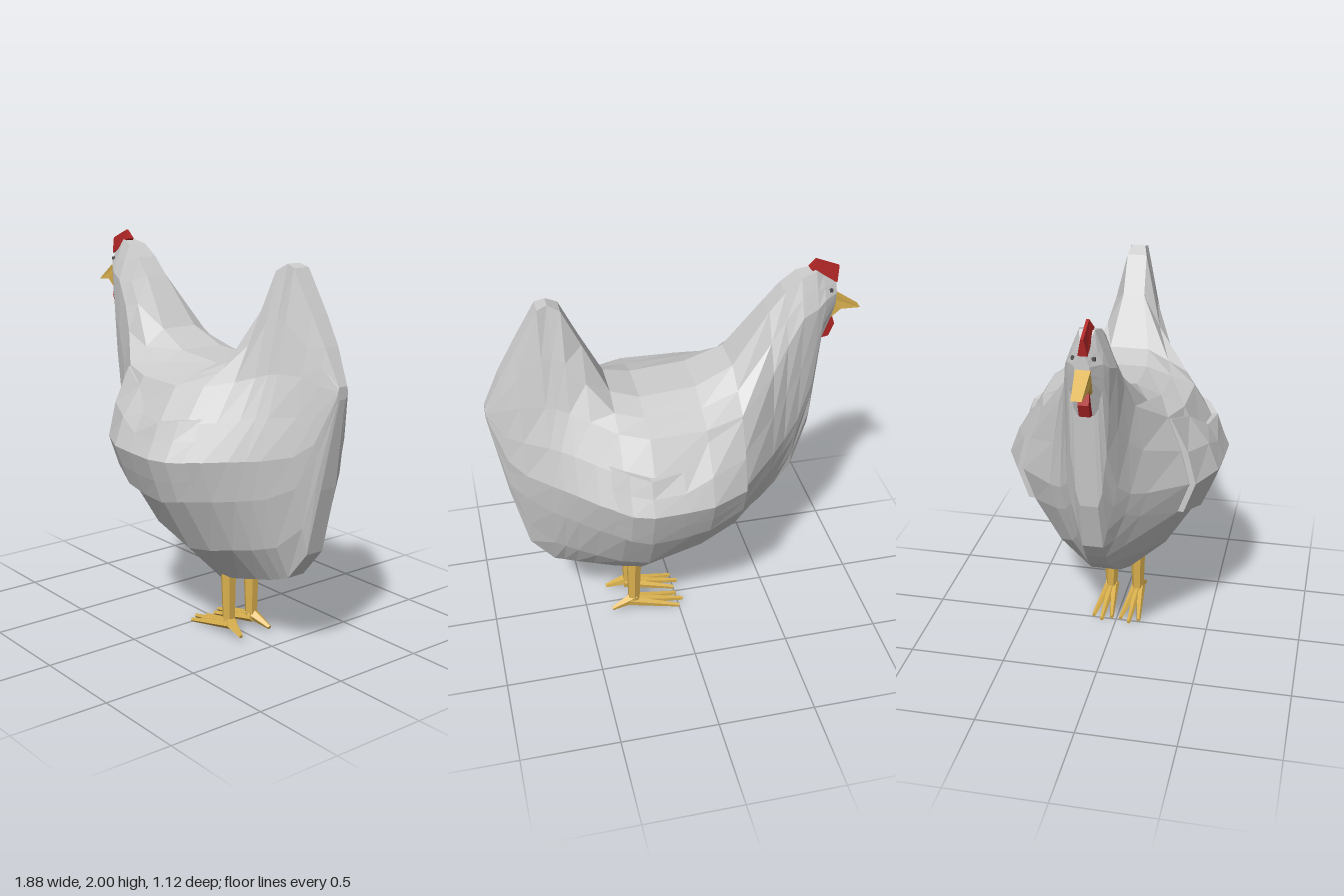
import * as THREE from 'three';

const mat = (color) => new THREE.MeshStandardMaterial({ color, flatShading: true });
const lerp = THREE.MathUtils.lerp;

// Body stations along x: [x, belly y, widest y, half width, shoulder y, half width, ridge y, half width]
const STATIONS = [
  [-0.81, 1.72, 1.76, 0.03, 1.82, 0.035, 1.87, 0.015],
  [-0.74, 1.56, 1.68, 0.075, 1.81, 0.08, 1.92, 0.025],
  [-0.70, 1.08, 1.35, 0.085, 1.78, 0.10, 1.95, 0.035],
  [-0.62, 0.82, 1.15, 0.12, 1.75, 0.12, 1.93, 0.05],
  [-0.54, 0.72, 1.08, 0.17, 1.62, 0.14, 1.87, 0.055],
  [-0.46, 0.63, 1.05, 0.24, 1.50, 0.18, 1.78, 0.06],
  [-0.27, 0.49, 1.02, 0.42, 1.37, 0.31, 1.53, 0.10],
  [-0.08, 0.40, 1.02, 0.51, 1.35, 0.36, 1.45, 0.12],
  [0.20, 0.31, 1.02, 0.535, 1.35, 0.37, 1.43, 0.12],
  [0.34, 0.34, 1.02, 0.50, 1.36, 0.31, 1.47, 0.10],
  [0.46, 0.37, 1.03, 0.415, 1.39, 0.22, 1.72, 0.055],
  [0.55, 0.39, 1.04, 0.335, 1.42, 0.17, 1.91, 0.05],
  [0.61, 0.41, 1.045, 0.28, 1.44, 0.15, 1.945, 0.035],
  [0.66, 0.43, 1.05, 0.235, 1.45, 0.135, 1.93, 0.045],
  [0.78, 0.58, 1.08, 0.15, 1.45, 0.10, 1.73, 0.045],
  [0.86, 0.92, 1.15, 0.095, 1.42, 0.07, 1.59, 0.04],
  [0.94, 1.36, 1.38, 0.03, 1.40, 0.03, 1.42, 0.025],
];

// Head and tail drift slightly sideways, in opposite directions
const centreZ = (x) => (x < 0
  ? 0.015 * THREE.MathUtils.smoothstep(-x, 0.3, 0.7)
  : -0.02 * THREE.MathUtils.smoothstep(x, 0.5, 0.9));

// Half cross-section, belly to ridge, as [y, half width]; the keel stays blunt at both ends
function profile([, yb, ym, w, ys, ws, yt, wt]) {
  return [
    [yb, Math.max(0.18 * w, Math.min(0.05, 0.5 * w))],
    [lerp(yb, ym, 0.28), Math.max(0.55 * w, Math.min(0.07, 0.75 * w))],
    [lerp(yb, ym, 0.69), 0.86 * w], [ym, w],
    [lerp(ym, ys, 0.5), 0.515 * (w + ws)], [ys, ws],
    [lerp(ys, yt, 0.5), 0.51 * (ws + wt)], [yt, wt],
  ];
}

// Half width of the body at any x and y
function halfWidth(x, y) {
  const i = Math.max(1, STATIONS.findIndex((s) => s[0] >= x));
  const a = STATIONS[i - 1], b = STATIONS[i];
  const t = (x - a[0]) / (b[0] - a[0]);
  const p = profile(a.map((v, k) => lerp(v, b[k], t)));
  const j = p.findIndex((q) => q[0] >= y);
  return lerp(p[j - 1][1], p[j][1], (y - p[j - 1][0]) / (p[j][0] - p[j - 1][0]));
}

// Closed skin over rings of equal length, capped at both ends
function loft(rings) {
  const n = rings[0].length, last = (rings.length - 1) * n, index = [];
  for (let i = 0; i < rings.length - 1; i++) {
    for (let j = 0; j < n; j++) {
      const a = i * n + j, d = i * n + (j + 1) % n;
      index.push(a, a + n, d + n, a, d + n, d);
    }
  }
  for (let j = 1; j < n - 1; j++) {
    index.push(0, j, j + 1, last, last + j + 1, last + j);
  }
  const g = new THREE.BufferGeometry();
  g.setAttribute('position', new THREE.Float32BufferAttribute(rings.flat(2), 3));
  g.setIndex(index);
  g.computeVertexNormals();
  return g;
}

function wingGeometry(side) {
  // x, lower edge, upper edge, lift from the body, lift of the upper edge
  const ribs = [
    [-0.265, 0.86, 1.36, 0.03, 0.01], [-0.08, 0.81, 1.3, 0.03, 0], [0.06, 0.79, 1.2, 0.03, 0.015],
    [0.22, 0.79, 1.19, 0.028, 0.035], [0.32, 0.81, 1.21, 0.02, 0.03], [0.4, 0.83, 1.22, 0, 0],
  ];
  return loft(ribs.map(([x, lo, hi, lift, topLift]) => {
    const ys = [lo, lerp(lo, 1.02, 0.5), 1.02, lerp(1.02, hi, 0.5), hi];
    const at = (y, off) => [x, y, side * (halfWidth(x, y) + off) + centreZ(x)];
    const ring = [
      ...ys.map((y) => at(y, y === hi ? topLift : lift)),
      ...ys.map((y) => at(y, -0.04)).reverse(),
    ];
    return side > 0 ? ring : ring.reverse();
  }));
}

// Flat plate cut from a side outline
function plate(points, depth) {
  const g = new THREE.ExtrudeGeometry(new THREE.Shape(points.map((p) => new THREE.Vector2(...p))),
    { depth, bevelEnabled: false });
  return g.translate(0, 0, 0.02 - depth / 2);
}

// Tapered rod between two points
function rod(a, b, ra, rb, sides) {
  const from = new THREE.Vector3(...a), to = new THREE.Vector3(...b);
  const dir = to.clone().sub(from);
  const g = new THREE.CylinderGeometry(rb, ra, dir.length(), sides);
  g.applyQuaternion(new THREE.Quaternion().setFromUnitVectors(new THREE.Vector3(0, 1, 0), dir.normalize()));
  const mid = from.add(to).multiplyScalar(0.5);
  return g.translate(mid.x, mid.y, mid.z);
}

export function createModel() {
  const model = new THREE.Group();
  model.name = 'hen';
  const grey = mat(0xcccccc), gold = mat(0xd9b04e), red = mat(0xb02626), dark = mat(0x555555);
  const add = (name, geometry, material, parent = model) => {
    const mesh = new THREE.Mesh(geometry, material);
    mesh.name = name;
    parent.add(mesh);
    return mesh;
  };

  // Head, breast, back and tail in one skin
  add('body', loft(STATIONS.map((s) => {
    const p = profile(s), x = s[0], c = centreZ(x);
    return [...p.map(([y, w]) => [x, y, c + w]), ...p.map(([y, w]) => [x, y, c - w]).reverse()];
  })), grey);

  // Beak, narrowing to a blunt tip
  const beak = plate([[-0.945, 1.715], [-0.84, 1.725], [-0.79, 1.685], [-0.76, 1.72], [-0.76, 1.8], [-0.81, 1.805]], 0.07);
  const bp = beak.attributes.position;
  for (let i = 0; i < bp.count; i++) {
    if (bp.getX(i) < -0.9) bp.setZ(i, lerp(0.02, bp.getZ(i), 0.7));
  }
  add('beak', beak, gold);

  // Comb, pinched along its crest
  const comb = plate([[-0.815, 1.87], [-0.74, 1.9], [-0.675, 1.955], [-0.705, 2.0], [-0.825, 1.95]], 0.045);
  const cp = comb.attributes.position;
  for (let i = 0; i < cp.count; i++) {
    const crest = cp.getY(i) > 1.97 || cp.getX(i) < -0.82;
    if (crest) cp.setZ(i, lerp(0.02, cp.getZ(i), 0.3));
  }
  add('comb', comb, red);

  add('wattle', plate([[-0.79, 1.72], [-0.815, 1.64], [-0.79, 1.575], [-0.725, 1.56], [-0.72, 1.62], [-0.76, 1.72]], 0.05), red);

  for (const side of [1, -1]) {
    add('wing', wingGeometry(side), grey);

    const eye = add('eye', new THREE.BoxGeometry(0.016, 0.016, 0.02), dark);
    eye.position.set(-0.775, 1.845, centreZ(-0.775) + side * halfWidth(-0.775, 1.845));

    // Leg with three front toes and one back toe
    const leg = new THREE.Group();
    leg.name = 'leg';
    model.add(leg);
    const z = side * 0.075;
    add('shank', rod([0.245, 0.05, z], [0.24, 0.36, z], 0.032, 0.042, 6), gold, leg);
    for (const k of [-1, 0, 1]) {
      add('frontToe', rod([0.27, 0.068, z + k * 0.012], [k ? 0.0 : -0.03, 0.013, z + k * 0.05],
        0.026, 0.011, 5), gold, leg);
    }
    add('backToe', rod([0.23, 0.085, z], [0.37, 0.035, z + side * 0.02], 0.036, 0.011, 5), gold, leg);
  }
  return model;
}
